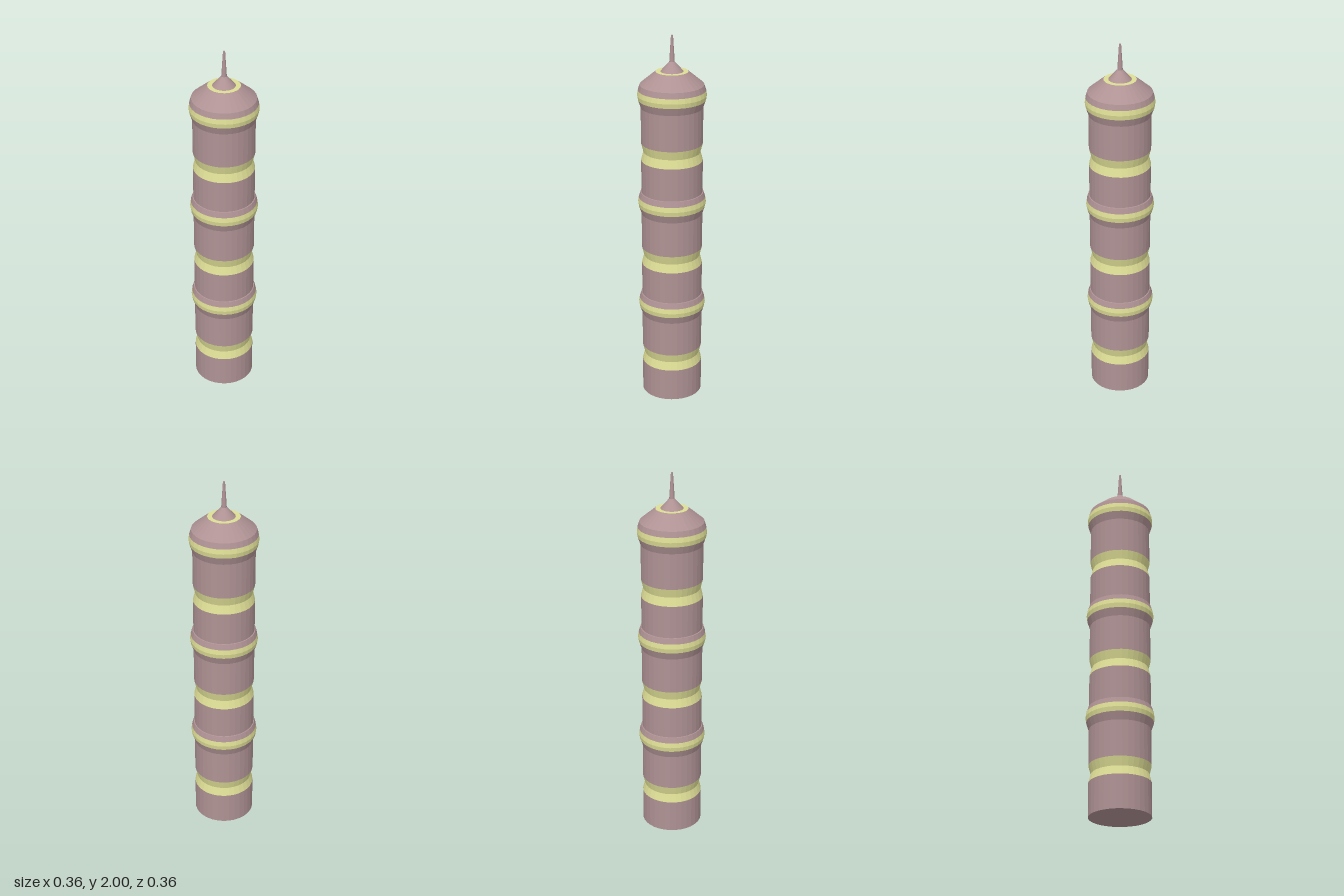
import * as THREE from 'three';

const SIDES = 32;
const R = 0.161;      // shaft radius
const PERIOD = 0.581; // height of one repeating tier

const rose = new THREE.MeshStandardMaterial({ color: 0xaf9294, flatShading: true });
const yellow = new THREE.MeshStandardMaterial({ color: 0xdede96, flatShading: true });

// Turned part from [radius, height] pairs, listed bottom to top
function turned(name, material, profile) {
  const points = profile.map(([r, y]) => new THREE.Vector2(r, y));
  const mesh = new THREE.Mesh(new THREE.LatheGeometry(points, SIDES), material);
  mesh.name = name;
  return mesh;
}

// One tier: shaft, pinched yellow waist, shaft and bulging collar with a yellow band
function createTier() {
  const tier = new THREE.Group();
  tier.add(
    turned('lowerShaft', rose, [[R, 0], [R, 0.178]]),
    turned('waistBand', yellow, [[R, 0.178], [0.149, 0.224], [R, 0.271]]),
    turned('upperShaft', rose, [[R, 0.271], [R, 0.463]]),
    turned('collarUnderside', rose, [[R, 0.463], [0.175, 0.504]]),
    turned('collarBand', yellow, [[0.175, 0.504], [0.179, 0.528], [0.175, 0.554]]),
    turned('collarTop', rose, [[0.175, 0.554], [0.166, 0.583], [R, 0.584]]),
  );
  return tier;
}

export function createModel() {
  const model = new THREE.Group();
  model.name = 'tower';

  // Closed base
  model.add(turned('base', rose, [[0, 0], [R, 0]]));

  // Three stacked tiers
  for (let i = 0; i < 3; i++) {
    const tier = createTier();
    tier.name = `tier${i + 1}`;
    tier.position.y = i * PERIOD;
    model.add(tier);
  }

  // Roof, flat ring, small cone and needle
  model.add(
    turned('roof', rose, [[0.166, 1.745], [0.084, 1.813]]),
    turned('roofRing', yellow, [[0.084, 1.813], [0.059, 1.813]]),
    turned('spireCone', rose, [[0.059, 1.813], [0.014, 1.864]]),
    turned('spireNeedle', rose, [[0.014, 1.864], [0.006, 1.99], [0.005, 2], [0, 2]]),
  );
  return model;
}
